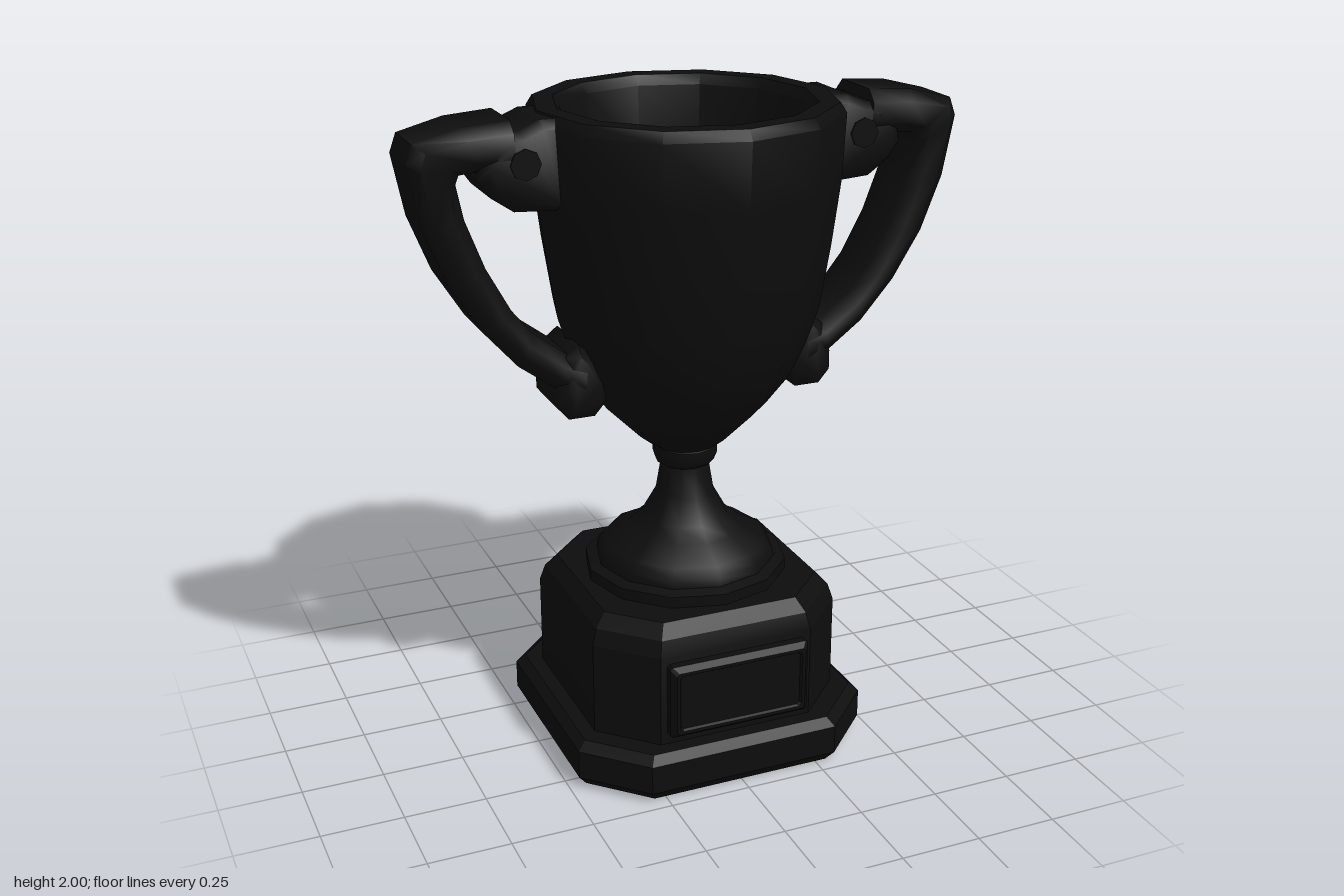
import * as THREE from 'three';
import { toCreasedNormals } from 'three/addons/utils/BufferGeometryUtils.js';

const smooth = new THREE.MeshStandardMaterial({ color: 0x0d0d0d });

// Corner-cut rectangle, counter-clockwise in (u, v)
function cutRect(hu, hv, c) {
  return [[hu, c - hv], [hu, hv - c], [hu - c, hv], [c - hu, hv],
    [-hu, hv - c], [-hu, c - hv], [c - hu, -hv], [hu - c, -hv]];
}

// Skin between rings of points, closed with a fan at both ends
function loft(rings, crease) {
  const pos = [];
  const tri = (a, b, c) => pos.push(...a, ...b, ...c);
  const n = rings[0].length;
  for (let r = 0; r < rings.length - 1; r++) {
    for (let i = 0; i < n; i++) {
      const j = (i + 1) % n, a = rings[r], b = rings[r + 1];
      tri(a[i], a[j], b[j]);
      tri(a[i], b[j], b[i]);
    }
  }
  const first = rings[0], last = rings[rings.length - 1];
  for (let i = 1; i < n - 1; i++) {
    tri(first[0], first[i + 1], first[i]);
    tri(last[0], last[i], last[i + 1]);
  }
  const geo = new THREE.BufferGeometry();
  geo.setAttribute('position', new THREE.Float32BufferAttribute(pos, 3));
  return toCreasedNormals(geo, crease);
}

function part(name, geo) {
  const mesh = new THREE.Mesh(geo, smooth);
  mesh.name = name;
  return mesh;
}

// Stacked octagonal levels: [half width, corner cut, height]
function octStack(name, levels) {
  return part(name, loft(levels.map(([h, c, y]) =>
    cutRect(h, h, c).map(([z, x]) => [x, y, z])), 0.3));
}

function turned(name, profile) {
  const geo = new THREE.LatheGeometry(profile.map(([r, y]) => new THREE.Vector2(r, y)), 12);
  return part(name, toCreasedNormals(geo, 0.7));
}

// Side-on outline given thickness along z, with bevelled edges
function slab(name, outline, bevel) {
  const shape = new THREE.Shape(outline.map(([x, y]) => new THREE.Vector2(x, y)));
  const depth = 0.24 - 2 * bevel;
  const geo = new THREE.ExtrudeGeometry(shape, {
    depth, bevelThickness: bevel, bevelSize: bevel, bevelOffset: -bevel, bevelSegments: 1,
  });
  geo.translate(0, 0, -depth / 2);
  return part(name, toCreasedNormals(geo, 0.85));
}

function handle(name) {
  const group = new THREE.Group();
  group.name = name;

  // Swept arm: outer x, y then inner x, y at each section
  const sections = [
    [0.55, 2.0, 0.545, 1.86], [0.69, 1.99, 0.64, 1.865], [0.825, 1.955, 0.7, 1.86],
    [0.845, 1.9, 0.71, 1.835], [0.81, 1.72, 0.69, 1.735], [0.745, 1.555, 0.635, 1.59],
    [0.655, 1.41, 0.565, 1.46], [0.55, 1.29, 0.505, 1.385], [0.435, 1.205, 0.405, 1.31],
    [0.36, 1.17, 0.35, 1.29],
  ];
  group.add(part('handleArm', loft(sections.map(([ox, oy, ix, iy]) => {
    const half = Math.hypot(ox - ix, oy - iy) / 2;
    return cutRect(half, 0.12, 0.035).map(([u, z]) => {
      const t = (u / half + 1) / 2;
      return [ix + (ox - ix) * t, iy + (oy - iy) * t, z];
    });
  }), 0.85)));

  // Curled ends against the cup
  group.add(slab('upperScroll', [
    [0.39, 1.735], [0.55, 1.745], [0.615, 1.79], [0.65, 1.84], [0.64, 1.89],
    [0.58, 1.96], [0.53, 1.97], [0.47, 1.995], [0.39, 1.995],
  ], 0.025));
  group.add(slab('lowerScroll', [
    [0.405, 1.11], [0.44, 1.15], [0.44, 1.21], [0.415, 1.3], [0.37, 1.335],
    [0.32, 1.29], [0.29, 1.22], [0.29, 1.15], [0.325, 1.11],
  ], 0.025));

  // Raised boss at the centre of the upper curl
  const boss = part('scrollBoss', toCreasedNormals(
    new THREE.CylinderGeometry(0.045, 0.045, 0.25, 8), 0.85));
  boss.rotation.x = Math.PI / 2;
  boss.position.set(0.52, 1.88, 0);
  group.add(boss);
  return group;
}

export function createModel() {
  const model = new THREE.Group();
  model.name = 'trophy';

  // Octagonal base and plinth
  model.add(octStack('base', [
    [0.445, 0.16, 0], [0.472, 0.17, 0.035], [0.472, 0.17, 0.125], [0.445, 0.16, 0.15],
  ]));
  model.add(octStack('plinth', [
    [0.4, 0.155, 0.14], [0.4, 0.155, 0.44], [0.385, 0.15, 0.49], [0.35, 0.135, 0.53],
  ]));

  // Front plate with bevelled border and sunken face
  const plate = [
    [0.225, 0.118, 0.39], [0.225, 0.118, 0.425], [0.21, 0.103, 0.443],
    [0.2, 0.093, 0.443], [0.195, 0.088, 0.435],
  ];
  model.add(part('plaque', loft(plate.map(([w, h, z]) =>
    cutRect(w, h, 0.008).map(([x, y]) => [x, y + 0.3, z])), 0.3)));

  // Turned foot, stem and collar
  model.add(turned('stem', [
    [0, 0.52], [0.315, 0.52], [0.315, 0.565], [0.28, 0.575], [0.275, 0.6], [0.255, 0.63],
    [0.18, 0.67], [0.135, 0.71], [0.09, 0.79], [0.075, 0.88], [0.09, 0.89],
    [0.1, 0.915], [0.1, 0.94], [0.08, 0.955], [0, 0.955],
  ]));

  // Hollow cup: up the outside, over the rim, down the inside
  model.add(turned('cup', [
    [0, 0.94], [0.1, 0.945], [0.145, 0.98], [0.25, 1.085], [0.315, 1.17], [0.363, 1.275],
    [0.4, 1.39], [0.43, 1.58], [0.455, 1.78], [0.464, 1.97], [0.445, 2.0],
    [0.385, 2.0], [0.365, 1.97], [0.355, 1.78], [0.335, 1.58], [0.3, 1.39],
    [0.25, 1.25], [0.17, 1.13], [0.08, 1.06], [0, 1.04],
  ]));

  // Matching handles
  model.add(handle('leftHandle'));
  const right = handle('rightHandle');
  right.rotation.y = Math.PI;
  model.add(right);

  return model;
}
